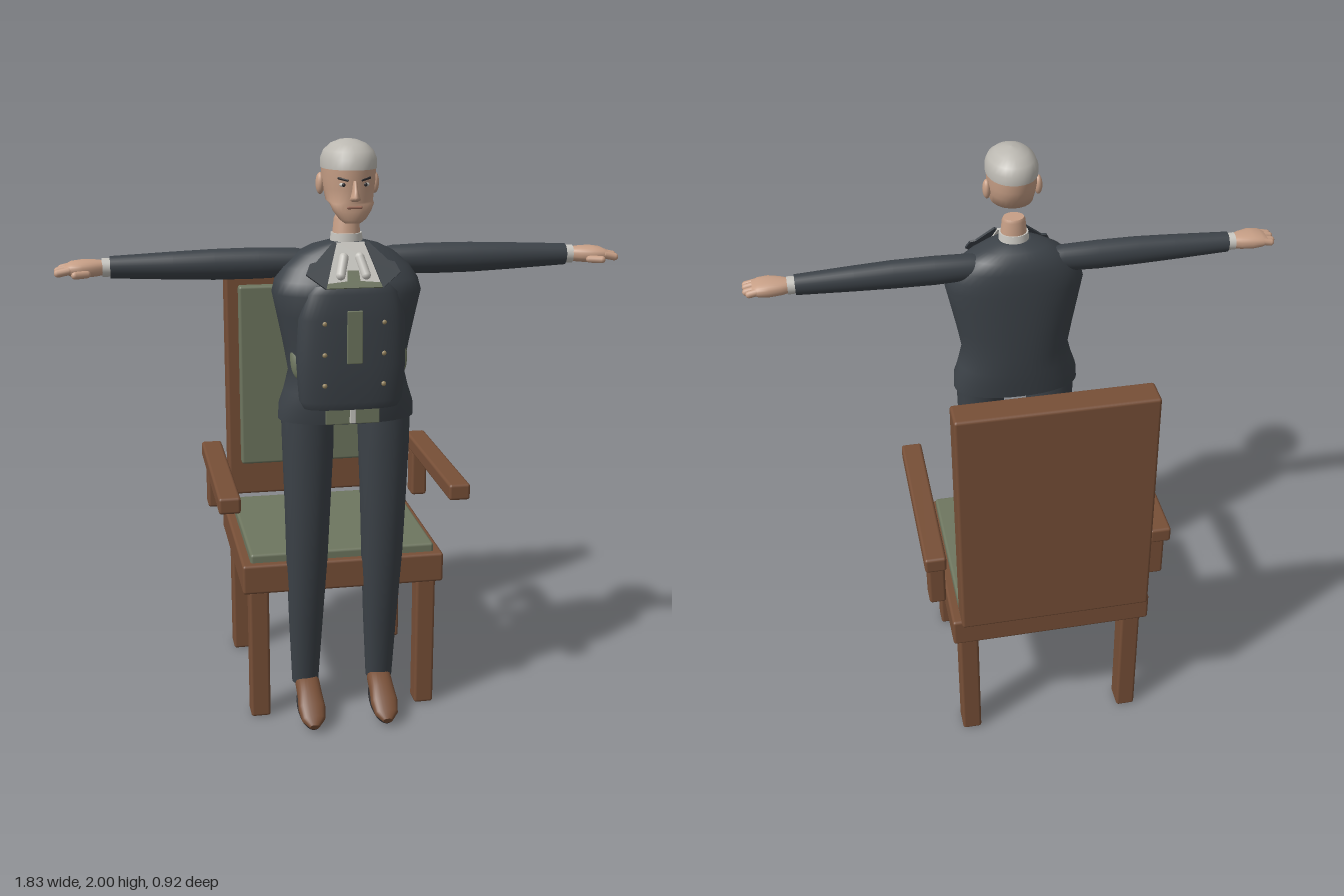
import * as THREE from 'three';
import { RoundedBoxGeometry } from 'three/addons/geometries/RoundedBoxGeometry.js';

const mat = (name, color, side = THREE.FrontSide) => {
  const m = new THREE.MeshStandardMaterial({ color, side });
  m.name = name;
  return m;
};

// Skin through rings [y, halfWidth, zBack, zFront, centreX]; p is the squareness of each ring
function loft(rings, p = 2, n = 28) {
  const pos = [], idx = [];
  const addRing = ([y, rx, zb, zf, cx = 0]) => {
    for (let j = 0; j < n; j++) {
      const a = (j / n) * Math.PI * 2, c = Math.cos(a), s = Math.sin(a);
      pos.push(cx + rx * Math.sign(c) * Math.abs(c) ** (2 / p), y,
        (zb + zf) / 2 + ((zf - zb) / 2) * Math.sign(s) * Math.abs(s) ** (2 / p));
    }
  };
  rings.forEach(addRing);
  for (let i = 0; i < rings.length - 1; i++) {
    for (let j = 0; j < n; j++) {
      const a = i * n + j, b = i * n + ((j + 1) % n);
      idx.push(a, a + n, b, b, a + n, b + n);
    }
  }
  // end caps with their own vertices, so the rims stay sharp
  [rings[0], rings[rings.length - 1]].forEach((r, top) => {
    const base = pos.length / 3;
    addRing(r);
    pos.push(r[4] || 0, r[0], (r[2] + r[3]) / 2);
    for (let j = 0; j < n; j++) {
      const a = base + j, b = base + ((j + 1) % n);
      top ? idx.push(base + n, b, a) : idx.push(base + n, a, b);
    }
  });
  const g = new THREE.BufferGeometry();
  g.setAttribute('position', new THREE.Float32BufferAttribute(pos, 3));
  g.setIndex(idx);
  g.computeVertexNormals();
  return g;
}

export function createModel() {
  const root = new THREE.Group();
  const wood = mat('wood', 0x774f37), green = mat('sage cloth', 0x6e765f);
  const cloth = mat('dark cloth', 0x3c4248), skin = mat('skin', 0xc79f86);
  const hair = mat('grey hair', 0xbbb8b1), linen = mat('white linen', 0xc8c6c0);
  const brass = mat('brass', 0x978560), dark = mat('dark detail', 0x2c2a2c);
  const lip = mat('lip', 0x9c6c5a);

  const add = (name, geo, material, x = 0, y = 0, z = 0, parent = root) => {
    const m = new THREE.Mesh(geo, material);
    m.name = name;
    m.position.set(x, y, z);
    parent.add(m);
    return m;
  };
  // rounded box given by its limits
  const block = (name, material, x0, x1, y0, y1, z0, z1, r = 0.01) =>
    add(name, new RoundedBoxGeometry(x1 - x0, y1 - y0, z1 - z0, 2, r), material,
      (x0 + x1) / 2, (y0 + y1) / 2, (z0 + z1) / 2);
  const ball = (name, material, x, y, z, sx, sy, sz) => {
    const m = add(name, new THREE.SphereGeometry(1, 18, 12), material, x, y, z);
    m.scale.set(sx, sy, sz);
    return m;
  };

  // Chair
  block('seatFrame', wood, -0.35, 0.35, 0.475, 0.58, -0.395, 0.275);
  block('seatCushion', green, -0.32, 0.32, 0.57, 0.61, -0.35, 0.25);
  block('backrest', wood, -0.325, 0.325, 0.615, 1.485, -0.46, -0.36);
  block('backCushion', green, -0.28, 0.28, 0.745, 1.425, -0.37, -0.325);
  for (const s of [-1, 1]) {
    const cx = 0.293 * s;
    block('frontLeg', wood, cx - 0.034, cx + 0.034, 0.004, 0.48, 0.187, 0.26);
    block('rearLeg', wood, cx - 0.034, cx + 0.034, 0.004, 0.48, -0.375, -0.29);
    block('armrest', wood, 0.392 * s - 0.037, 0.392 * s + 0.037, 0.783, 0.84, -0.345, 0.31);
    block('armPost', wood, 0.388 * s - 0.029, 0.388 * s + 0.029, 0.612, 0.79, -0.315, -0.24);
  }

  // Coat and waistcoat front
  add('coat', loft([
    [1.1, 0.225, 0.17, 0.395], [1.15, 0.222, 0.165, 0.405], [1.2, 0.205, 0.16, 0.41],
    [1.26, 0.19, 0.158, 0.412], [1.35, 0.206, 0.155, 0.415], [1.45, 0.227, 0.155, 0.42],
    [1.52, 0.242, 0.156, 0.425], [1.56, 0.232, 0.158, 0.41], [1.6, 0.205, 0.162, 0.385],
    [1.64, 0.16, 0.172, 0.36], [1.665, 0.11, 0.195, 0.345], [1.68, 0.058, 0.235, 0.335],
  ], 2.25, 40), cloth);
  add('coatFront', loft([
    [1.155, 0.155, 0.3, 0.42], [1.18, 0.168, 0.3, 0.428], [1.3, 0.176, 0.3, 0.436],
    [1.45, 0.172, 0.3, 0.437], [1.53, 0.15, 0.3, 0.434], [1.555, 0.13, 0.3, 0.422],
  ], 3, 40), cloth);
  block('waistcoatStrip', green, -0.025, 0.025, 1.31, 1.48, 0.433, 0.441, 0.003);
  block('waistcoatHem', green, -0.088, 0.088, 1.104, 1.155, 0.399, 0.407, 0.003);
  block('buckle', linen, -0.01, 0.01, 1.106, 1.155, 0.403, 0.411, 0.003);
  for (const s of [-1, 1]) {
    ball('waistcoatSide', green, 0.166 * s, 1.31, 0.338, 0.026, 0.065, 0.022).rotation.x = -0.25;
    for (const y of [1.24, 1.34, 1.44]) ball('button', brass, 0.095 * s, y, 0.431, 0.008, 0.008, 0.006);
  }

  // Cravat and lapels lie on the sloping chest
  const chest = new THREE.Group();
  chest.name = 'neckwear';
  chest.position.set(0, 1.53, 0.428);
  chest.rotation.x = -0.5;
  root.add(chest);
  const plate = (name, material, points, z) => {
    const shape = new THREE.Shape(points.map(([x, y]) => new THREE.Vector2(x, y)));
    add(name, new THREE.ExtrudeGeometry(shape, { depth: 0.008, bevelEnabled: false }), material, 0, 0, z, chest);
  };
  plate('cravat', linen, [[-0.085, 0.03], [0.085, 0.03], [0.07, 0.1], [0.045, 0.17], [-0.045, 0.17], [-0.07, 0.1]], 0);
  plate('waistcoatTop', green, [[-0.09, 0.018], [0.09, 0.018], [0.09, 0.033], [0.02, 0.04], [0.018, 0.075],
    [-0.018, 0.075], [-0.02, 0.04], [-0.09, 0.033]], 0.004);
  for (const s of [-1, 1]) {
    const pts = [[0.09, 0.015], [0.15, 0.065], [0.135, 0.1], [0.115, 0.105], [0.055, 0.17], [0.045, 0.165], [0.065, 0.1]];
    plate('lapel', cloth, pts.map(([x, y]) => [x * s, y]), 0.006);
    const fold = add('cravatFold', new THREE.CapsuleGeometry(0.016, 0.06, 4, 10), linen, 0.033 * s, 0.09, 0.006, chest);
    fold.rotation.z = 0.25 * s;
  }
  add('collar', loft([[1.66, 0.054, 0.232, 0.335], [1.705, 0.05, 0.24, 0.332]]), linen);
  add('neck', loft([[1.69, 0.046, 0.243, 0.328], [1.75, 0.04, 0.247, 0.32], [1.76, 0.035, 0.252, 0.315]]), skin);

  // Legs, shoes, arms and hands
  for (const s of [-1, 1]) {
    add('trouserLeg', loft([
      [0.12, 0.046, 0.192, 0.272, 0.132 * s], [0.35, 0.058, 0.19, 0.302, 0.131 * s],
      [0.6, 0.07, 0.2, 0.343, 0.13 * s], [0.8, 0.077, 0.212, 0.355, 0.129 * s],
      [1.0, 0.085, 0.212, 0.364, 0.128 * s], [1.16, 0.088, 0.2, 0.365, 0.128 * s],
    ], 2.1), cloth);
    const shoe = new THREE.Group();
    shoe.name = 'shoe';
    shoe.position.set(0.128 * s, 0.115, 0.24);
    shoe.rotation.x = 2.0;
    root.add(shoe);
    add('shoeUpper', loft([
      [-0.025, 0.03, -0.02, 0.018], [0.01, 0.042, -0.042, 0.022], [0.07, 0.043, -0.042, 0.022],
      [0.12, 0.047, -0.032, 0.022], [0.165, 0.04, -0.02, 0.022], [0.193, 0.016, -0.005, 0.018],
    ], 2.4), wood, 0, 0, 0, shoe);
    const sole = add('shoeSole', new THREE.CylinderGeometry(1, 1, 1, 24), dark, 0, 0.087, 0.021, shoe);
    sole.rotation.x = Math.PI / 2;
    sole.scale.set(0.045, 0.008, 0.104);

    // the arm runs along its own y axis, turned out sideways
    const arm = new THREE.Group();
    arm.name = 'arm';
    arm.position.y = 1.607;
    arm.rotation.z = -s * Math.PI / 2;
    root.add(arm);
    add('sleeve', loft([
      [0.1, 0.035, 0.21, 0.28], [0.16, 0.046, 0.202, 0.288], [0.28, 0.05, 0.2, 0.288],
      [0.42, 0.049, 0.203, 0.288], [0.55, 0.044, 0.204, 0.284], [0.745, 0.035, 0.208, 0.275],
    ], 2), cloth, 0, 0, 0, arm);
    add('cuff', loft([[0.735, 0.029, 0.212, 0.271], [0.77, 0.03, 0.211, 0.272]]), linen, 0, 0, 0, arm);
    add('palm', loft([
      [0.76, 0.022, 0.217, 0.267], [0.79, 0.026, 0.206, 0.284], [0.83, 0.028, 0.2, 0.298],
      [0.865, 0.023, 0.2, 0.298], [0.885, 0.012, 0.206, 0.29],
    ], 2.4), skin, 0, 0, 0, arm);
    for (let i = 0; i < 4; i++) {
      const finger = add('finger', new THREE.CapsuleGeometry(0.0125, 0.035, 4, 10), skin,
        (i % 2) * 0.004 * s, 0.888 - (i === 0 ? 0.01 : 0), 0.214 + i * 0.024, arm);
      finger.rotation.z = -0.2 * s;
    }
    const thumb = add('thumb', new THREE.CapsuleGeometry(0.012, 0.04, 4, 10), skin, 0.012 * s, 0.835, 0.3, arm);
    thumb.rotation.x = 0.45;
  }

  // Head
  add('head', loft([
    [1.748, 0.026, 0.368, 0.41], [1.76, 0.042, 0.352, 0.42], [1.785, 0.06, 0.335, 0.422],
    [1.808, 0.07, 0.322, 0.422], [1.813, 0.073, 0.238, 0.423], [1.85, 0.079, 0.216, 0.425],
    [1.88, 0.083, 0.205, 0.429], [1.92, 0.084, 0.203, 0.432],
  ], 2.1), skin);
  add('hair', loft([
    [1.912, 0.087, 0.199, 0.435], [1.94, 0.087, 0.2, 0.431], [1.965, 0.077, 0.215, 0.415],
    [1.985, 0.055, 0.243, 0.385], [1.996, 0.028, 0.275, 0.35], [2.0, 0.003, 0.31, 0.316],
  ], 2.1), hair);
  add('nose', loft([
    [1.817, 0.01, 0.41, 0.432], [1.823, 0.018, 0.405, 0.452], [1.832, 0.014, 0.405, 0.46],
    [1.85, 0.009, 0.405, 0.447], [1.88, 0.007, 0.405, 0.433],
  ], 2, 14), skin);
  block('mouth', lip, -0.024, 0.024, 1.794, 1.803, 0.413, 0.425, 0.004);
  for (const s of [-1, 1]) {
    ball('ear', skin, 0.087 * s, 1.862, 0.3, 0.014, 0.034, 0.02);
    ball('eye', linen, 0.034 * s, 1.868, 0.413, 0.013, 0.007, 0.008);
    ball('pupil', dark, 0.034 * s, 1.868, 0.418, 0.006, 0.006, 0.005);
    const brow = block('eyebrow', dark, 0.035 * s - 0.018, 0.035 * s + 0.018, 1.881, 1.888, 0.412, 0.422, 0.003);
    brow.rotation.set(0, 0.4 * s, 0.22 * s);
  }
  return root;
}
